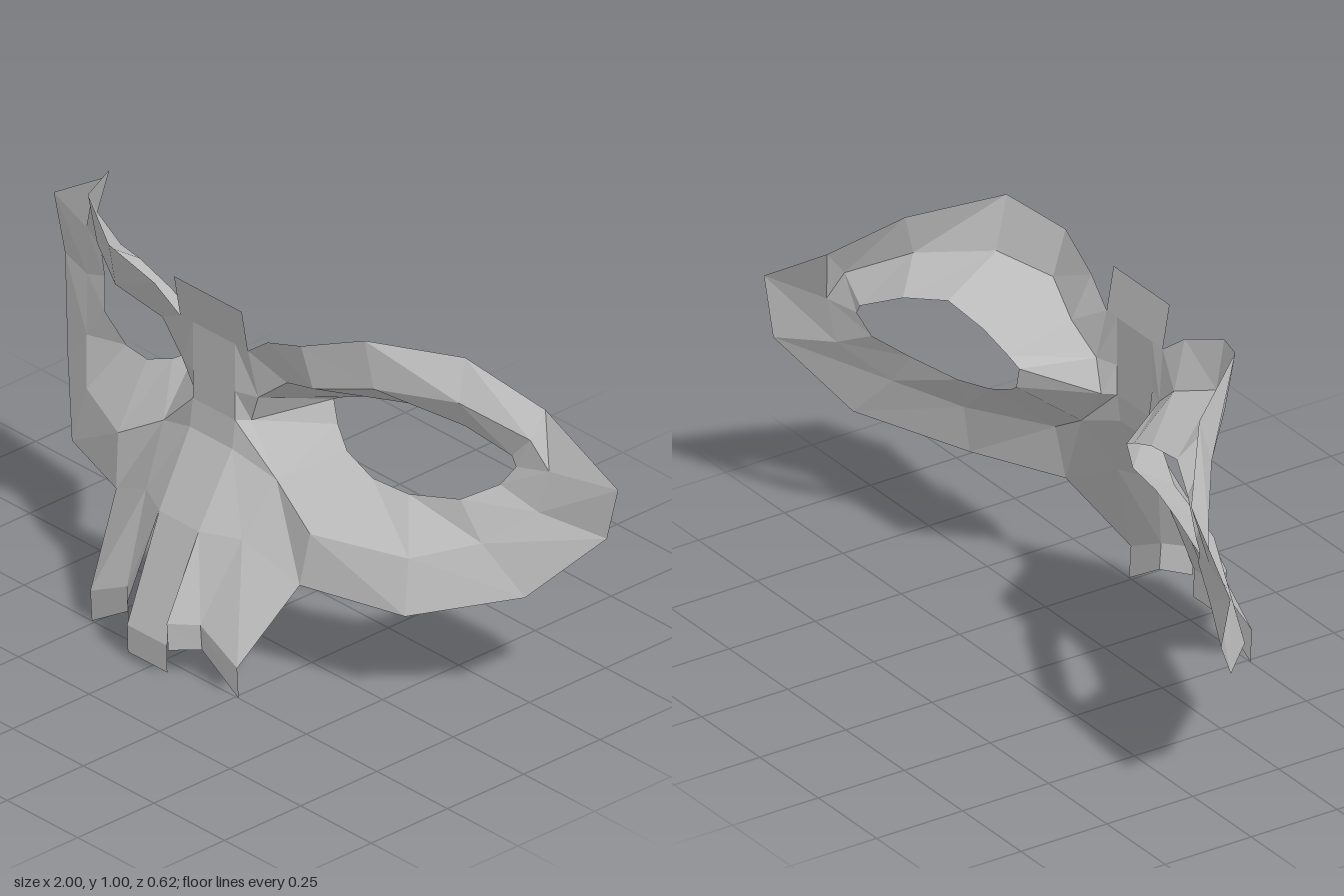
import * as THREE from 'three';

const grey = new THREE.MeshStandardMaterial({ color: 0xc0c0c0, side: THREE.DoubleSide });
grey.name = 'plain grey';

// Faceted sheet between rows of points; rows run downwards, columns towards +x
function sheet(rows, closed = false, mirror = false) {
  const pos = [];
  const tri = (a, b, c) => {
    for (const p of mirror ? [a, c, b] : [a, b, c]) pos.push(mirror ? -p[0] : p[0], p[1], p[2]);
  };
  for (let r = 0; r < rows.length - 1; r++) {
    const n = rows[r].length;
    for (let i = 0; i < (closed ? n : n - 1); i++) {
      const j = (i + 1) % n;
      tri(rows[r][i], rows[r + 1][i], rows[r + 1][j]);
      tri(rows[r][i], rows[r + 1][j], rows[r][j]);
    }
  }
  const g = new THREE.BufferGeometry();
  g.setAttribute('position', new THREE.Float32BufferAttribute(pos, 3));
  g.computeVertexNormals();
  return g;
}

// Contours around the left eye, from the bridge over the brow and back along the cheek
const rim = [
  [0.12, 0.84, 0.09], [0.2, 0.9, 0.1], [0.34, 0.955, 0.12], [0.49, 1.005, 0.05],
  [0.63, 0.94, -0.15], [0.78, 0.81, -0.275], [1, 0.665, -0.31], [0.96, 0.515, -0.31],
  [0.81, 0.34, -0.18], [0.59, 0.27, 0.01], [0.325, 0.285, 0.11],
];
const ridge = [
  [0.135, 0.71, 0.07], [0.22, 0.78, 0.055], [0.35, 0.83, 0.09], [0.49, 0.86, 0.02],
  [0.64, 0.83, -0.12], [0.78, 0.745, -0.225], [0.82, 0.665, -0.25], [0.8, 0.55, -0.235],
  [0.7, 0.46, -0.14], [0.57, 0.41, -0.02], [0.34, 0.425, 0.09],
  [0.2, 0.51, 0.07], [0.1, 0.63, 0.06],
];
const eye = [
  [0.23, 0.685, -0.09], [0.27, 0.705, -0.095], [0.36, 0.74, -0.105], [0.49, 0.765, -0.12],
  [0.61, 0.735, -0.17], [0.72, 0.68, -0.22], [0.735, 0.655, -0.22], [0.7, 0.6, -0.2],
  [0.63, 0.555, -0.135], [0.5, 0.535, -0.085], [0.4, 0.547, -0.06],
  [0.31, 0.585, -0.06], [0.25, 0.625, -0.085],
];

// Bridge between the eyes, widening down to the nose
const bridge = [
  [[0, 0.955, 0.11], [0.075, 0.955, 0.11], [0.12, 0.955, 0.11]],
  [[0, 0.84, 0.09], [0.075, 0.84, 0.09], [0.12, 0.84, 0.09]],
  [[0, 0.71, 0.09], [0.075, 0.71, 0.09], [0.135, 0.71, 0.07]],
  [[0, 0.63, 0.09], [0.075, 0.63, 0.09], [0.1, 0.63, 0.06]],
  [[0, 0.555, 0.1], [0.075, 0.555, 0.1], [0.2, 0.51, 0.07]],
  [[0, 0.365, 0.205], [0.07, 0.365, 0.205], [0.17, 0.365, 0.155]],
];
// Lower nose: centre strip, its sloping side and the outer wing, each with a folded end
const noseCentre = [
  [[0, 0.365, 0.205], [0.07, 0.365, 0.205]],
  [[0, 0.09, 0.31], [0.07, 0.09, 0.31]],
  [[0, 0.015, 0.308], [0.07, 0.015, 0.308]],
];
const noseSide = [
  [[0.07, 0.365, 0.205], [0.17, 0.365, 0.155]],
  [[0.07, 0.15, 0.31], [0.13, 0.15, 0.255]],
  [[0.07, 0.075, 0.305], [0.13, 0.08, 0.25]],
];
const noseWing = [
  [[0.2, 0.51, 0.07], [0.34, 0.425, 0.09]],
  [[0.17, 0.365, 0.155], [0.325, 0.285, 0.11]],
  [[0.13, 0.15, 0.255], [0.26, 0.085, 0.255]],
  [[0.13, 0.08, 0.25], [0.26, 0, 0.25]],
];

export function createModel() {
  const mask = new THREE.Group();
  mask.name = 'mask';
  const parts = [
    ['browAndCheek', [rim, ridge.slice(0, rim.length)], false],
    ['eyeSocket', [ridge, eye], true],
    ['bridge', bridge, false],
    ['noseCentre', noseCentre, false],
    ['noseSide', noseSide, false],
    ['noseWing', noseWing, false],
  ];
  for (const mirror of [false, true]) {
    const half = new THREE.Group();
    half.name = mirror ? 'rightHalf' : 'leftHalf';
    for (const [name, rows, closed] of parts) {
      const mesh = new THREE.Mesh(sheet(rows, closed, mirror), grey);
      mesh.name = name;
      half.add(mesh);
    }
    mask.add(half);
  }
  return mask;
}
